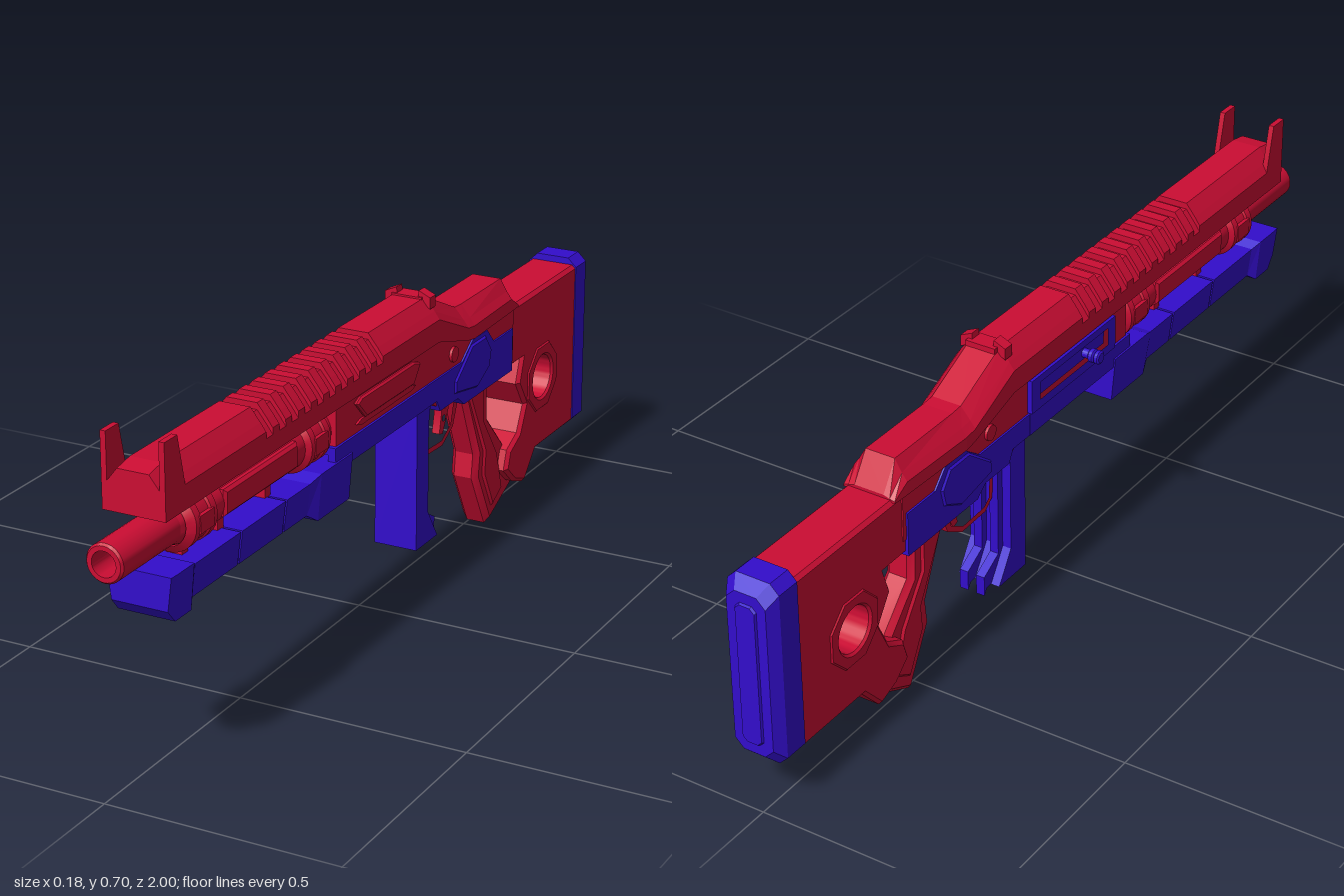
import * as THREE from 'three';
import { toCreasedNormals } from 'three/addons/utils/BufferGeometryUtils.js';

const red = new THREE.MeshStandardMaterial({ color: 0xcc0d33 });
const blue = new THREE.MeshStandardMaterial({ color: 0x330dcc });

export function createModel() {
  const model = new THREE.Group();
  const body = new THREE.Group();
  body.name = 'body';
  body.position.x = 0.016;
  model.add(body);

  const add = (name, geo, mat, x = 0, y = 0, z = 0) => {
    const mesh = new THREE.Mesh(geo, mat);
    mesh.name = name;
    mesh.position.set(x, y, z);
    body.add(mesh);
    return mesh;
  };

  // Side outline of [z, y] points extruded across the width
  const slab = (pts, half, bevel = 0, holes = []) => {
    const shape = new THREE.Shape(pts.map(p => new THREE.Vector2(...p)));
    shape.holes = holes;
    const depth = 2 * (half - bevel);
    const geo = new THREE.ExtrudeGeometry(shape, {
      depth, bevelEnabled: bevel > 0, bevelThickness: bevel, bevelSize: bevel,
      bevelOffset: -bevel, bevelSegments: 1, curveSegments: 24,
    });
    geo.translate(0, 0, -depth / 2).rotateY(-Math.PI / 2);
    return toCreasedNormals(geo, 0.5);
  };
  const circle = (z, y, r) => new THREE.Path().absarc(z, y, r, 0, Math.PI * 2, true);
  const rect = (z0, z1, y0, y1) => [[z0, y0], [z1, y0], [z1, y1], [z0, y1]];

  // Faceted skin through convex cross-sections, ordered front to back
  const loft = (sections) => {
    const v = [];
    const tri = (...ps) => ps.forEach(p => v.push(...p));
    const rings = sections.map(s => s.pts.map(p => [p[0], p[1], s.z]));
    const n = rings[0].length;
    for (let k = 0; k + 1 < rings.length; k++) {
      for (let i = 0; i < n; i++) {
        const j = (i + 1) % n, A = rings[k], B = rings[k + 1];
        tri(A[i], B[i], B[j]);
        tri(A[i], B[j], A[j]);
      }
    }
    const F = rings[0], L = rings[rings.length - 1];
    for (let i = 1; i + 1 < n; i++) {
      tri(F[0], F[i], F[i + 1]);
      tri(L[0], L[i + 1], L[i]);
    }
    const geo = new THREE.BufferGeometry();
    geo.setAttribute('position', new THREE.Float32BufferAttribute(v, 3));
    geo.computeVertexNormals();
    return geo;
  };
  const mirror = right => [...right, ...right.slice().reverse().map(([x, y]) => [-x, y])];

  // Turned part along z from [radius, z] points
  const turned = (pts, segs = 32) => toCreasedNormals(
    new THREE.LatheGeometry(pts.map(p => new THREE.Vector2(...p)), segs).rotateX(Math.PI / 2), 0.5);

  // Top cover with cross grooves
  const cover = (z, bot, top, w = 0.068) => {
    const k = Math.min(1, (top - bot) / 0.075);
    return { z, pts: mirror([[w, bot], [w, top - 0.045 * k], [w - 0.012, top - 0.028 * k], [0.034, top]]) };
  };
  const spans = [cover(0.895, 0.545, 0.632), cover(0.85, 0.545, 0.64)];
  for (let i = 0; i < 10; i++) {
    const z = 0.53 - i * 0.05;
    spans.push(cover(z, 0.545, 0.64), cover(z, 0.545, 0.626),
      cover(z - 0.025, 0.545, 0.626), cover(z - 0.025, 0.545, 0.64));
  }
  spans.push(cover(-0.2, 0.545, 0.64), cover(-0.34, 0.505, 0.575),
    cover(-0.37, 0.5, 0.573), cover(-0.565, 0.5, 0.573, 0.062), cover(-0.605, 0.5, 0.512, 0.06));
  add('topCover', loft(spans), red);

  // Sights
  for (const s of [-1, 1]) {
    add('frontSight', slab([[0.895, 0.55], [0.895, 0.7], [0.85, 0.7], [0.82, 0.57], [0.82, 0.55]], 0.006), red, s * 0.062);
    add('rearSight', loft([-0.185, -0.21].map(z => ({
      z, pts: s > 0 ? [[0.024, 0.635], [0.053, 0.62], [0.053, 0.645], [0.026, 0.657]]
        : [[-0.024, 0.635], [-0.026, 0.657], [-0.053, 0.645], [-0.053, 0.62]],
    }))), red);
  }
  add('rearSightBase', new THREE.BoxGeometry(0.07, 0.012, 0.04), red, 0, 0.638, -0.2);

  // Receiver with side rails and pins
  add('receiver', slab([[0.24, 0.455], [0.24, 0.55], [-0.2, 0.55], [-0.37, 0.51],
    [-0.58, 0.51], [-0.58, 0.4], [-0.2, 0.4], [-0.13, 0.455]], 0.06), red);
  add('sidePanel', slab([[0.17, 0.53], [0.15, 0.54], [-0.08, 0.54], [-0.11, 0.53],
    [-0.08, 0.49], [0.13, 0.49]], 0.006, 0.004), red, 0.066);
  add('sideSlot', slab([[0.16, 0.482], [0.14, 0.488], [-0.08, 0.488], [-0.1, 0.482], [-0.08, 0.476], [0.14, 0.476]], 0.003), red, 0.062);
  for (const s of [-1, 1]) {
    add('pin', new THREE.CylinderGeometry(0.017, 0.017, 0.008, 20).rotateZ(Math.PI / 2), red, s * 0.062, 0.492, -0.28);
  }

  // Bolt window and handle on the right side
  const win = new THREE.Path(rect(0.15, -0.11, 0.485, 0.525).map(p => new THREE.Vector2(...p)));
  add('boltFrame', slab(rect(0.18, -0.14, 0.465, 0.541), 0.007, 0, [win]), blue, -0.064);
  add('boltCarrier', new THREE.BoxGeometry(0.006, 0.03, 0.25), blue, -0.061, 0.505, 0.02);
  const handle = new THREE.LatheGeometry([[0, 0], [0.01, 0], [0.01, 0.018], [0.015, 0.022], [0.015, 0.03],
    [0.011, 0.033], [0.015, 0.036], [0.015, 0.043], [0.011, 0.046], [0, 0.046]]
    .map(p => new THREE.Vector2(...p)), 20).rotateZ(Math.PI / 2);
  add('boltHandle', toCreasedNormals(handle, 0.5), blue, -0.06, 0.505, 0.068);

  // Barrel, collars and sleeve
  add('barrel', turned([[0.04, 0.2], [0.04, 0.995], [0.036, 1], [0.026, 1], [0.026, 0.9], [0, 0.9]]), red, 0, 0.49);
  add('sleeve', turned([[0.04, 0.24], [0.05, 0.24], [0.05, 0.76], [0.04, 0.8]]), red, 0, 0.49);
  for (const [a, b] of [[0.25, 0.35], [0.69, 0.79]]) {
    add('collar', turned([[0.045, a], [0.061, a + 0.012], [0.061, a + 0.03], [0.057, a + 0.034],
      [0.057, b - 0.034], [0.061, b - 0.03], [0.061, b - 0.012], [0.045, b]]), red, 0, 0.49);
    add('collarBlock', new THREE.BoxGeometry(0.124, 0.036, 0.05), red, 0, 0.49, (a + b) / 2);
  }
  add('sleevePanel', slab([[0.66, 0.465], [0.66, 0.52], [0.38, 0.52], [0.38, 0.465]], 0.054, 0.006), red);
  for (const z of [0.62, 0.44, 0.75, 0.3]) {
    add('sleeveStrut', new THREE.BoxGeometry(0.035, 0.06, 0.022), red, 0, 0.435, z);
  }

  // Forend under the barrel
  const trap = (z, top, bot, w, taper = 0.009) => ({
    z, pts: [[-w + taper, bot], [w - taper, bot], [w, top], [-w, top]],
  });
  add('forendCap', loft([trap(0.885, 0.432, 0.362, 0.07), trap(0.862, 0.432, 0.335, 0.071),
    trap(0.805, 0.432, 0.335, 0.071), trap(0.785, 0.42, 0.35, 0.06)]), blue);
  for (const [a, b] of [[0.79, 0.616], [0.61, 0.443], [0.437, 0.33]]) {
    add('forendSection', loft([trap(a, 0.42, 0.35, 0.06), trap(b, 0.42, 0.35, 0.06)]), blue);
  }
  add('forendCore', new THREE.BoxGeometry(0.1, 0.06, 0.5), blue, 0, 0.386, 0.55);
  add('forendBlock', loft([trap(0.345, 0.42, 0.35, 0.06), trap(0.315, 0.432, 0.33, 0.069),
    trap(0.185, 0.432, 0.33, 0.069)]), blue);

  // Lower frame: open channel, then trigger housing
  for (const s of [-1, 1]) {
    add('frameRail', slab([[0.25, 0.412], [0.25, 0.462], [-0.14, 0.462], [-0.14, 0.412]], 0.009), blue, s * 0.056);
  }
  add('frameRoof', new THREE.BoxGeometry(0.11, 0.012, 0.39), blue, 0, 0.452, 0.055);
  add('triggerHousing', slab([[-0.135, 0.412], [-0.135, 0.462], [-0.27, 0.462], [-0.32, 0.462], [-0.37, 0.497],
    [-0.44, 0.497], [-0.475, 0.46], [-0.57, 0.46], [-0.57, 0.362], [-0.33, 0.362], [-0.3, 0.385],
    [-0.215, 0.385], [-0.2, 0.412]], 0.064), blue);
  add('housingBoss', slab([[-0.28, 0.4], [-0.28, 0.43], [-0.36, 0.49], [-0.43, 0.49],
    [-0.46, 0.45], [-0.45, 0.41], [-0.39, 0.38]], 0.068, 0.006), blue);

  // Foregrip with ribbed back
  add('foregrip', slab([[-0.135, 0.09], [-0.135, 0.42], [-0.2, 0.42], [-0.19, 0.36],
    [-0.19, 0.16], [-0.215, 0.12], [-0.235, 0.09]], 0.05), blue);
  for (const x of [-0.02, 0.02]) {
    add('foregripRib', slab([[-0.16, 0.095], [-0.16, 0.41], [-0.22, 0.41], [-0.207, 0.36], [-0.207, 0.15],
      [-0.26, 0.12], [-0.26, 0.075], [-0.25, 0.09]], 0.01), blue, x);
  }

  // Trigger guard and perforated trigger
  const guard = new THREE.Shape([[-0.2, 0.39], [-0.21, 0.285], [-0.235, 0.265], [-0.32, 0.262],
    [-0.37, 0.29], [-0.4, 0.36], [-0.4, 0.39]].map(p => new THREE.Vector2(...p)));
  const guardHole = new THREE.Path([[-0.215, 0.375], [-0.222, 0.29], [-0.24, 0.277], [-0.315, 0.274],
    [-0.358, 0.298], [-0.38, 0.375]].map(p => new THREE.Vector2(...p)));
  add('triggerGuard', slab(guard.getPoints().map(p => [p.x, p.y]), 0.018, 0, [guardHole]), red);
  add('trigger', slab([[-0.325, 0.39], [-0.332, 0.33], [-0.322, 0.285], [-0.338, 0.28], [-0.365, 0.33], [-0.37, 0.39]],
    0.009, 0, [circle(-0.348, 0.345, 0.008), circle(-0.343, 0.316, 0.007)]), red);

  // Pistol grip
  add('pistolGrip', slab([[-0.385, 0.38], [-0.465, 0.19], [-0.458, 0.135], [-0.527, 0.003], [-0.665, 0.068],
    [-0.63, 0.12], [-0.6, 0.18], [-0.52, 0.265], [-0.515, 0.38]], 0.033, 0.012), red);
  add('gripPanel', slab([[-0.41, 0.35], [-0.49, 0.19], [-0.485, 0.135], [-0.535, 0.04], [-0.59, 0.07],
    [-0.56, 0.17], [-0.49, 0.27], [-0.49, 0.35]], 0.038, 0.008), red);

  // Stock with thumb opening and round hole
  add('stock', slab([[-0.56, 0.505], [-0.93, 0.505], [-0.93, 0.12], [-0.72, 0.12], [-0.665, 0.06], [-0.61, 0.08],
    [-0.565, 0.12], [-0.58, 0.165], [-0.63, 0.19], [-0.66, 0.25], [-0.62, 0.31], [-0.64, 0.365], [-0.56, 0.365]],
  0.057, 0.008, [circle(-0.745, 0.29, 0.063)]), red);
  add('holeRim', slab(Array.from({ length: 8 }, (_, i) => {
    const a = (i + 0.5) * Math.PI / 4;
    return [-0.745 + 0.085 * Math.cos(a), 0.29 + 0.085 * Math.sin(a)];
  }), 0.06, 0.005, [circle(-0.745, 0.29, 0.05)]), red);

  // Butt pad with raised centre strip
  const pad = (z, w, lo, hi, c) => ({
    z, pts: mirror([[w - c, lo], [w, lo + c], [w, hi - c], [w - c, hi]]),
  });
  add('buttPad', loft([pad(-0.915, 0.059, 0.11, 0.52, 0.02), pad(-0.97, 0.059, 0.11, 0.52, 0.02),
    pad(-0.995, 0.045, 0.135, 0.497, 0.02)]), blue);
  add('buttStrip', loft([pad(-0.99, 0.026, 0.155, 0.477, 0.01), pad(-1, 0.022, 0.16, 0.472, 0.01)]), blue);

  return model;
}
